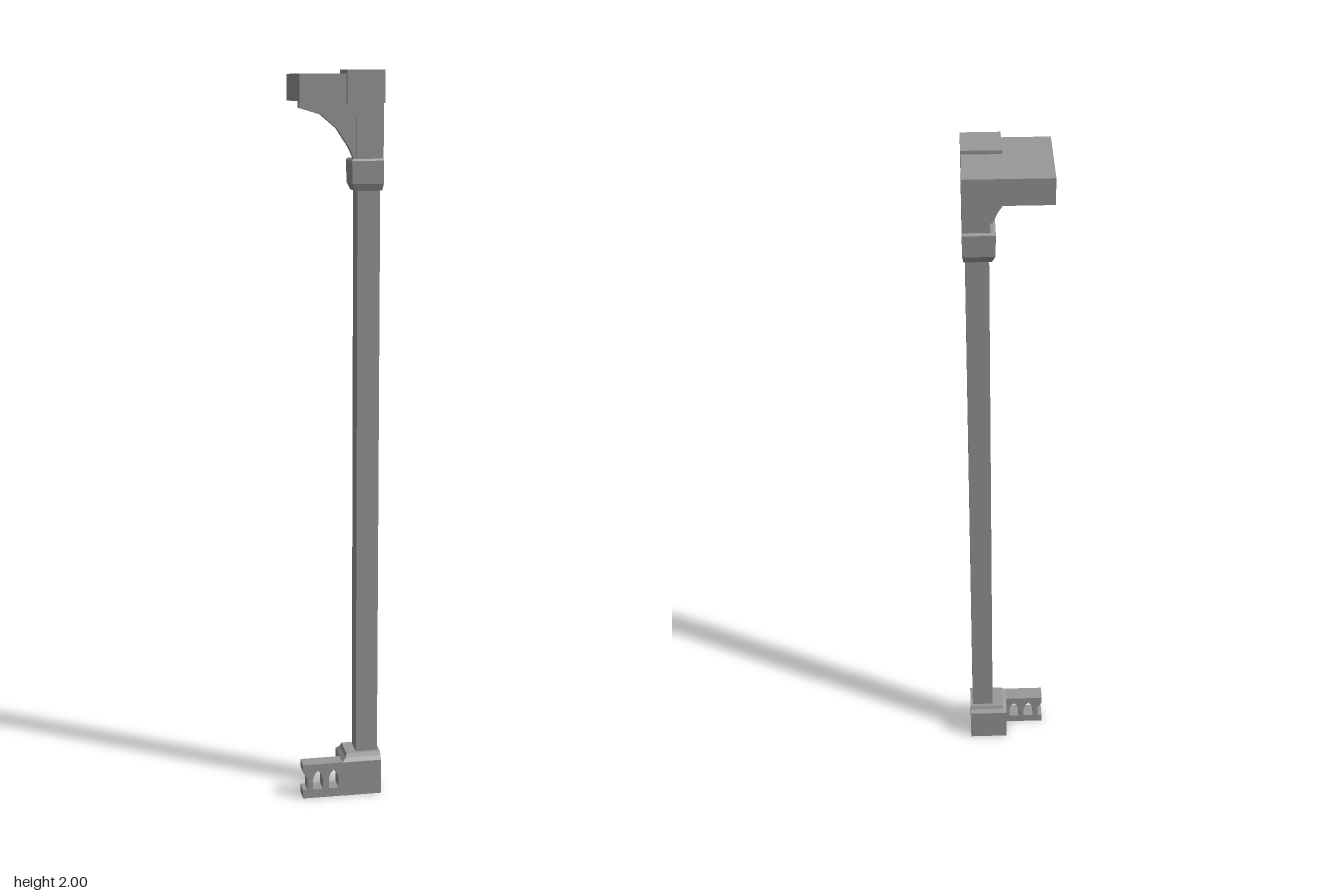
import * as THREE from 'three';

const material = new THREE.MeshStandardMaterial({ color: 0x999999, flatShading: true });

function add(group, name, geometry) {
  const mesh = new THREE.Mesh(geometry, material);
  mesh.name = name;
  group.add(mesh);
}

// Box given by its limits on each axis
function box(x0, x1, y0, y1, z0, z1) {
  return new THREE.BoxGeometry(x1 - x0, y1 - y0, z1 - z0)
    .translate((x0 + x1) / 2, (y0 + y1) / 2, (z0 + z1) / 2);
}

// Solid through stacked rectangles [y, x0, x1, z0, z1], bottom to top
function stack(rings) {
  const pos = [], index = [];
  for (const [y, x0, x1, z0, z1] of rings) {
    pos.push(x0, y, z1, x1, y, z1, x1, y, z0, x0, y, z0);
  }
  for (let r = 0; r < rings.length - 1; r++) {
    for (let i = 0; i < 4; i++) {
      const a = r * 4 + i, b = r * 4 + (i + 1) % 4;
      index.push(a, b, b + 4, a, b + 4, a + 4);
    }
  }
  const t = (rings.length - 1) * 4;
  index.push(0, 2, 1, 0, 3, 2, t, t + 1, t + 2, t, t + 2, t + 3);
  const geometry = new THREE.BufferGeometry();
  geometry.setAttribute('position', new THREE.Float32BufferAttribute(pos, 3));
  geometry.setIndex(index);
  const flat = geometry.toNonIndexed();
  flat.computeVertexNormals();
  return flat;
}

// Extrude an outline in x and y from z0 to z1
function plate(shape, z0, z1) {
  return new THREE.ExtrudeGeometry(shape, { depth: z1 - z0, bevelEnabled: false })
    .translate(0, 0, z0);
}

const points = (list) => list.map(([x, y]) => new THREE.Vector2(x, y));

export function createModel() {
  const model = new THREE.Group();

  // Pedestal with chamfered top
  add(model, 'pedestal', stack([
    [0, 0, 0.111, 0.008, 0.115],
    [0.1, 0, 0.111, 0.008, 0.115],
    [0.11, 0.011, 0.111, 0.017, 0.106],
    [0.12, 0.014, 0.111, 0.021, 0.1],
  ]));

  // Balustrade with pointed openings; the outer end is cut through an opening
  const rail = new THREE.Shape(points([
    [-0.112, 0], [0.002, 0], [0.002, 0.1], [-0.112, 0.1],
    [-0.112, 0.078], [-0.1, 0.06], [-0.1, 0.025], [-0.112, 0.025],
  ]));
  for (const x of [-0.07, -0.025]) {
    rail.holes.push(new THREE.Path(points([
      [x - 0.014, 0.025], [x - 0.014, 0.055], [x - 0.009, 0.07], [x, 0.08],
      [x + 0.009, 0.07], [x + 0.014, 0.055], [x + 0.014, 0.025],
    ])));
  }
  add(model, 'balustrade', plate(rail, 0.069, 0.114));

  // Square shaft
  add(model, 'shaft', box(0.043, 0.104, 0.11, 1.7, 0.03, 0.09));

  // Capital, rounded in at the bottom
  add(model, 'capital', stack([
    [1.69, 0.036, 0.108, 0.023, 0.097],
    [1.708, 0.028, 0.111, 0.016, 0.103],
    [1.768, 0.026, 0.111, 0.015, 0.104],
    [1.773, 0.031, 0.111, 0.019, 0.1],
  ]));

  // Upper pier and curved bracket
  add(model, 'upperPier', box(0.04, 0.111, 1.76, 1.925, 0.022, 0.098));
  add(model, 'bracket', plate(new THREE.Shape(points([
    [-0.112, 1.925], [-0.112, 1.904], [-0.055, 1.887], [-0.013, 1.852],
    [0.02, 1.802], [0.037, 1.765], [0.045, 1.765], [0.045, 1.925],
  ])), 0.07, 0.093));

  // Roof slab and corner block
  add(model, 'slab', box(-0.112, 0.111, 1.92, 1.99, -0.116, 0.105));
  add(model, 'cornerBlock', box(0.011, 0.111, 1.915, 2, 0.014, 0.115));

  return model;
}
